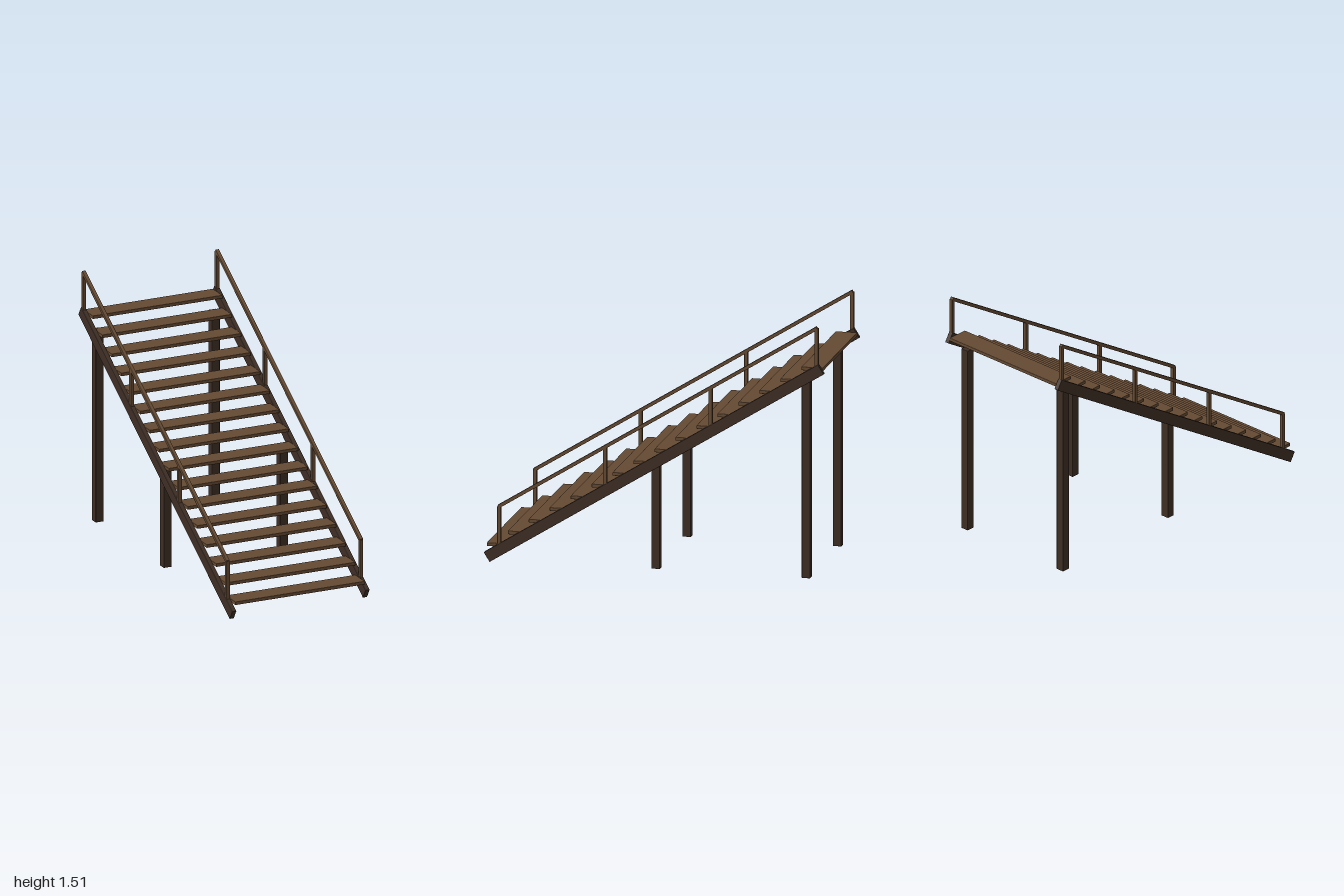
import * as THREE from 'three';
import { RoundedBoxGeometry } from 'three/addons/geometries/RoundedBoxGeometry.js';

const SLOPE = Math.atan(0.626);          // pitch of the flight
const MID_Y = 0.643;                     // stringer height at z = 0
const lineY = (z) => MID_Y - z * 0.626;  // stringer centre line

export function createModel() {
  const wood = new THREE.MeshStandardMaterial({ color: 0x654a32 });
  wood.name = 'wood';
  const darkWood = new THREE.MeshStandardMaterial({ color: 0x3e2e24 });
  darkWood.name = 'darkWood';

  const model = new THREE.Group();
  model.name = 'staircase';

  // Slightly eased timber beam
  const beam = (name, size, pos, material, tilt = 0) => {
    const mesh = new THREE.Mesh(new RoundedBoxGeometry(...size, 1, 0.002), material);
    mesh.name = name;
    mesh.position.set(...pos);
    mesh.rotation.x = tilt;
    model.add(mesh);
  };

  // Open treads
  const count = 16;
  for (let i = 0; i < count; i++) {
    const t = i / (count - 1);
    beam('tread', [0.824, 0.02, 0.126], [0, 0.097 + t * 1.154, 0.925 - t * 1.85], wood);
  }

  for (const [side, s] of [['left', 1], ['right', -1]]) {
    // Sloping side beam
    beam(side + 'Stringer', [0.027, 0.065, 2.319], [s * 0.4235, MID_Y, 0], darkWood, SLOPE);

    // Handrail and its posts
    const railZ = [0.91, -0.955];
    const railY = [0.332, 1.497];
    const rise = railY[1] - railY[0];
    const run = railZ[0] - railZ[1];
    beam(side + 'Handrail', [0.022, 0.02, Math.hypot(rise, run) + 0.01],
      [s * 0.424, (railY[0] + railY[1]) / 2, (railZ[0] + railZ[1]) / 2], wood, Math.atan2(rise, run));
    for (let i = 0; i < 4; i++) {
      const z = railZ[0] - (i / 3) * run;
      const top = railY[0] + (i / 3) * rise;
      const bottom = lineY(z);
      beam(side + 'RailPost', [0.022, top - bottom, 0.022], [s * 0.424, (top + bottom) / 2, z], wood);
    }

    // Support legs
    for (const [name, z, top] of [['MiddleLeg', 0, 0.62], ['RearLeg', -0.885, 1.168]]) {
      beam(side + name, [0.05, top - 0.01, 0.05], [s * 0.37, (top + 0.01) / 2, z], darkWood);
    }
  }
  return model;
}
